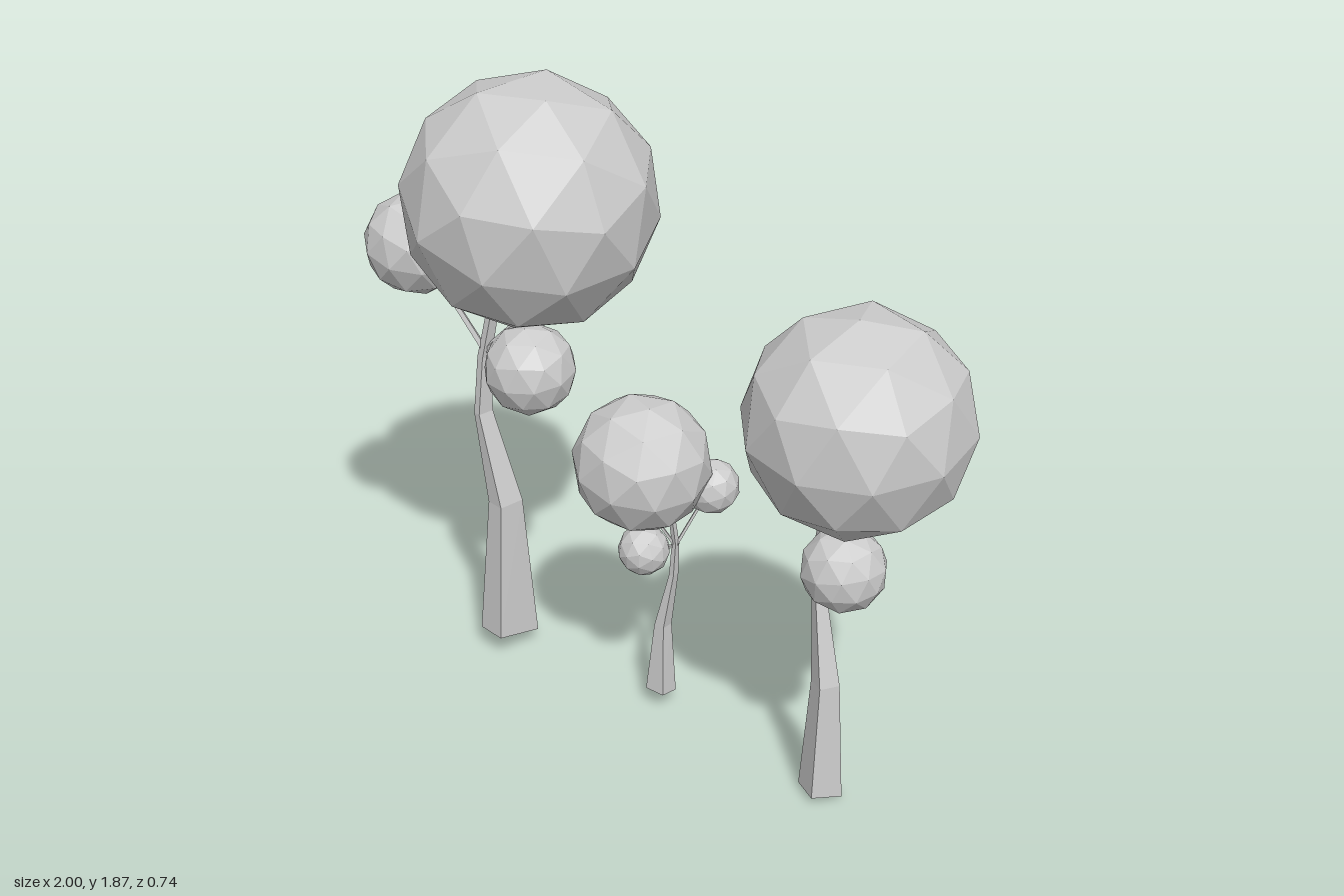
import * as THREE from 'three';

const material = new THREE.MeshStandardMaterial({ color: 0xcccccc, flatShading: true });

// Faceted ball of leaves
function foliage(name, [x, y, z, r], spin) {
  const mesh = new THREE.Mesh(new THREE.IcosahedronGeometry(r, 1), material);
  mesh.name = name;
  mesh.position.set(x, y, z);
  mesh.rotation.set(0.25 + spin * 0.2, spin, 0.15);
  return mesh;
}

// Four-sided trunk lofted through sections [x, y, z, halfX, halfZ]; the cut base rises to the front
function trunk(sections, twist) {
  const positions = [], index = [];
  const c = Math.cos(twist), s = Math.sin(twist);
  sections.forEach(([x, y, z, hx, hz], k) => {
    for (const [a, b] of [[1, -1], [1, 1], [-1, 1], [-1, -1]]) {
      const px = a * hx * c - b * hz * s;
      const pz = a * hx * s + b * hz * c;
      positions.push(x + px, y + (k === 0 ? 0.2 * pz : 0), z + pz);
    }
    if (k === 0) return;
    for (let i = 0; i < 4; i++) {
      const j = (i + 1) % 4, lo = (k - 1) * 4, hi = k * 4;
      index.push(lo + i, hi + i, lo + j, lo + j, hi + i, hi + j);
    }
  });
  const t = (sections.length - 1) * 4;
  index.push(0, 1, 2, 0, 2, 3, t, t + 2, t + 1, t, t + 3, t + 2);
  const geometry = new THREE.BufferGeometry();
  geometry.setAttribute('position', new THREE.Float32BufferAttribute(positions, 3));
  geometry.setIndex(index);
  geometry.computeVertexNormals();
  const mesh = new THREE.Mesh(geometry, material);
  mesh.name = 'trunk';
  return mesh;
}

// Thin tapered branch between two points
function branch(from, to, r) {
  const a = new THREE.Vector3(...from), b = new THREE.Vector3(...to);
  const d = b.clone().sub(a);
  const mesh = new THREE.Mesh(new THREE.CylinderGeometry(r * 0.75, r, d.length(), 4), material);
  mesh.name = 'branch';
  mesh.position.copy(a).addScaledVector(d, 0.5);
  mesh.quaternion.setFromUnitVectors(new THREE.Vector3(0, 1, 0), d.normalize());
  return mesh;
}

const trees = [
  {
    name: 'tallTree', twist: 0.08, branchRadius: 0.011,
    crown: [-0.523, 1.51, 0, 0.376],
    clusters: [[-0.858, 1.332, 0.148, 0.156], [-0.535, 0.978, 0.01, 0.14]],
    sections: [
      [-0.607, 0.06, 0.065, 0.048, 0.075],
      [-0.61, 0.52, 0.06, 0.03, 0.042],
      [-0.677, 0.81, 0.075, 0.012, 0.026],
      [-0.678, 0.99, 0.06, 0.012, 0.018],
      [-0.635, 1.26, 0.03, 0.01, 0.012],
    ],
    fork: [-0.675, 1.01, 0.06], inner: [-0.52, 1.18, 0],
  },
  {
    name: 'middleTree', twist: -0.09, branchRadius: 0.006,
    crown: [-0.067, 0.842, 0.022, 0.204],
    clusters: [[0.058, 0.748, -0.137, 0.083], [-0.063, 0.553, 0.02, 0.077]],
    sections: [
      [-0.037, 0.052, -0.025, 0.032, 0.032],
      [-0.038, 0.28, -0.035, 0.017, 0.02],
      [-0.009, 0.46, -0.05, 0.008, 0.012],
      [-0.002, 0.57, -0.05, 0.007, 0.009],
      [0, 0.74, -0.02, 0.005, 0.006],
    ],
    fork: [-0.002, 0.56, -0.05], inner: [-0.05, 0.7, 0.02],
  },
  {
    name: 'rightTree', twist: 0.47, branchRadius: 0.009,
    crown: [0.683, 1.234, 0, 0.313],
    clusters: [[0.405, 1.085, -0.1, 0.13], [0.665, 0.788, 0.01, 0.12]],
    sections: [
      [0.6, 0.014, -0.01, 0.047, 0.047],
      [0.6, 0.38, -0.015, 0.03, 0.03],
      [0.548, 0.65, -0.035, 0.014, 0.016],
      [0.55, 0.82, -0.035, 0.011, 0.013],
      [0.59, 1.02, -0.02, 0.009, 0.01],
    ],
    fork: [0.552, 0.83, -0.035], inner: [0.67, 0.98, 0],
  },
];

export function createModel() {
  const model = new THREE.Group();
  model.name = 'trees';
  trees.forEach((t, n) => {
    const tree = new THREE.Group();
    tree.name = t.name;
    tree.add(trunk(t.sections, t.twist), foliage('crown', t.crown, 0.4 + n * 0.5));
    // Side clusters, each carried by a branch, plus one branch into the crown
    t.clusters.forEach((c, i) => {
      tree.add(foliage('leafCluster', c, 0.9 + i * 0.6 + n));
      tree.add(branch(t.fork, c.slice(0, 3), t.branchRadius));
    });
    tree.add(branch(t.fork, t.inner, t.branchRadius));
    model.add(tree);
  });
  return model;
}
